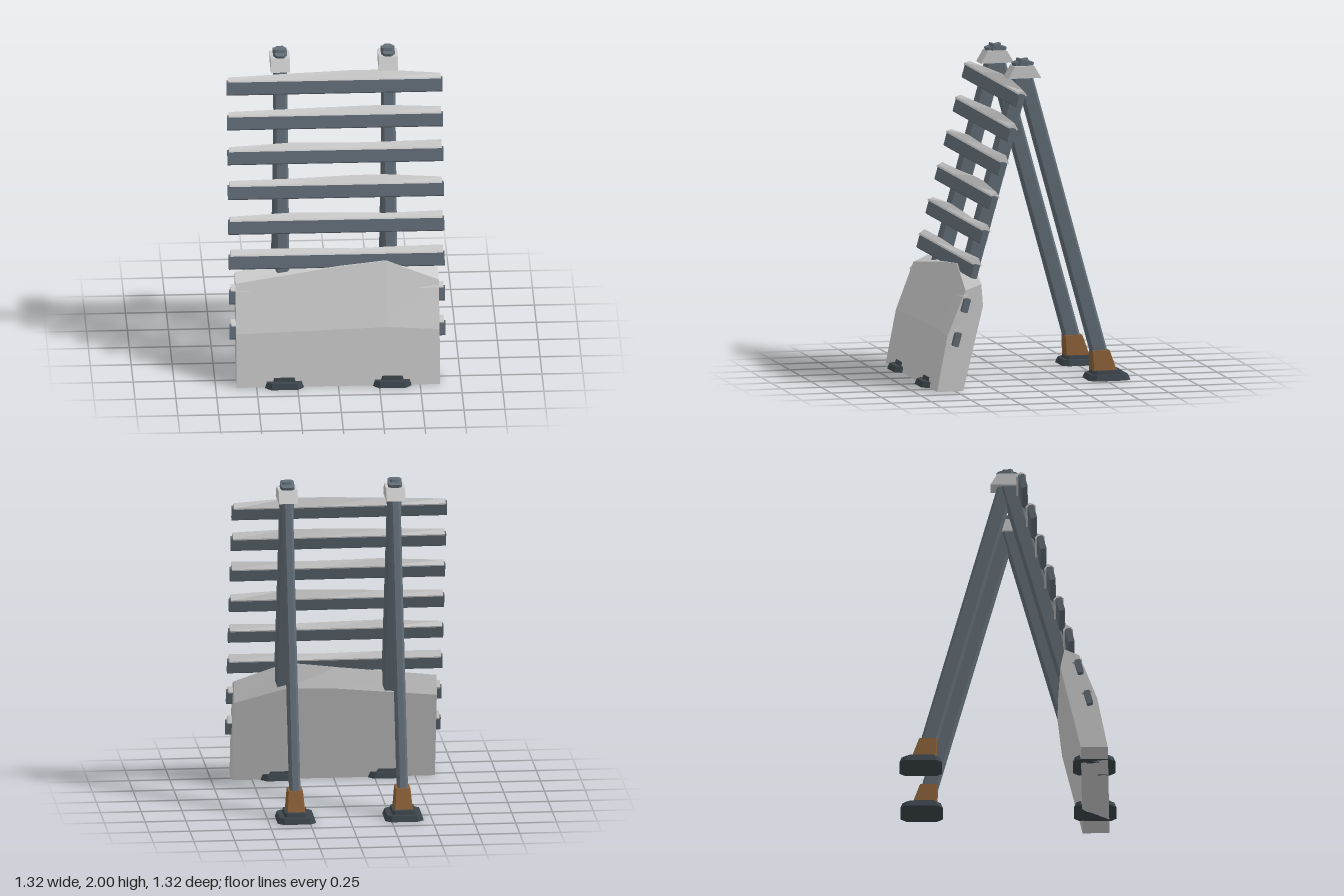
import * as THREE from 'three';

const paint = (color) => new THREE.MeshStandardMaterial({ color, flatShading: true });
const TILT = 0.268, APEX = 1.92;

// Upright bar with chamfered corners, base at y = 0; the top may be scaled and shifted in z
function bar(w, d, h, chamfer, topScaleX = 1, topScaleZ = topScaleX, shiftZ = 0) {
  const a = w / 2, b = d / 2, c = chamfer;
  const shape = new THREE.Shape([
    [a, -b + c], [a, b - c], [a - c, b], [-a + c, b],
    [-a, b - c], [-a, -b + c], [-a + c, -b], [a - c, -b],
  ].map(([x, y]) => new THREE.Vector2(x, y)));
  const geo = new THREE.ExtrudeGeometry(shape, { depth: h, bevelEnabled: false }).rotateX(-Math.PI / 2);
  const p = geo.attributes.position;
  for (let i = 0; i < p.count; i++) {
    if (p.getY(i) < h / 2) continue;
    p.setX(i, p.getX(i) * topScaleX);
    p.setZ(i, p.getZ(i) * topScaleZ + shiftZ);
  }
  geo.computeVertexNormals();
  return geo;
}

// Closed loft along +x; each section is { x, pts: [[z, y], ...] } running front, top, back
function loft(sections) {
  const out = [], n = sections[0].pts.length;
  const put = (...list) => list.forEach(([s, i]) => {
    const [z, y] = sections[s].pts[i % n];
    out.push(sections[s].x, y, z);
  });
  const last = sections.length - 1;
  for (let s = 0; s < last; s++) for (let i = 0; i < n; i++) {
    put([s, i], [s + 1, i], [s + 1, i + 1], [s, i], [s + 1, i + 1], [s, i + 1]);
  }
  for (let i = 1; i < n - 1; i++) {
    put([0, 0], [0, i], [0, i + 1]);
    put([last, 0], [last, i + 1], [last, i]);
  }
  const geo = new THREE.BufferGeometry();
  geo.setAttribute('position', new THREE.Float32BufferAttribute(out, 3));
  geo.computeVertexNormals();
  return geo;
}

export function createModel() {
  const root = new THREE.Group();
  root.name = 'snowFence';
  const steel = paint(0x626d76), dark = paint(0x3c454b), rust = paint(0x8a6038), snow = paint(0xcccccc);

  const add = (parent, name, geo, mat, x = 0, y = 0, z = 0) => {
    const m = new THREE.Mesh(geo, mat);
    m.name = name;
    m.position.set(x, y, z);
    parent.add(m);
    return m;
  };

  // Two A-frames whose legs cross at the apex
  for (const side of [1, -1]) {
    const frame = new THREE.Group();
    frame.name = side > 0 ? 'leftFrame' : 'rightFrame';
    frame.position.x = side * 0.33;
    root.add(frame);

    for (const dir of [1, -1]) {
      const label = dir > 0 ? 'front' : 'back';
      const length = 1.96;
      const geo = bar(dir > 0 ? 0.084 : 0.064, 0.1, length, 0.014).translate(0, 0.068 - length, 0);
      add(frame, label + 'Leg', geo, steel, 0, APEX, 0).rotation.x = -dir * TILT;

      // Stepped foot plate
      add(frame, label + 'Foot', bar(0.236, 0.26, 0.035, 0.035, 0.9), dark, 0, 0, dir * 0.53);
      add(frame, label + 'FootStep', bar(0.15, 0.185, 0.024, 0.015, 0.93), dark, 0, 0.034, dir * 0.525);
    }
    add(frame, 'rustyCollar', bar(0.112, 0.148, 0.125, 0.004, 0.8, 0.74, 0.024), rust, 0, 0.055, -0.509);
    add(frame, 'apexSnow', bar(0.118, 0.21, 0.075, 0.002, 1, 0.58), snow, 0, 1.88, 0);
  }

  // Leaning slats, each with an uneven ridge of snow; ridge heights at five stations
  const stations = [-0.65, -0.25, 0.1, 0.3, 0.65];
  const ridges = [
    [0.022, 0.04, 0.053, 0.053, 0.026],
    [0.024, 0.036, 0.046, 0.05, 0.034],
    [0.022, 0.044, 0.036, 0.038, 0.046],
    [0.028, 0.036, 0.05, 0.052, 0.03],
    [0.022, 0.042, 0.034, 0.028, 0.038],
    [0.034, 0.036, 0.028, 0.034, 0.042],
    [0.038, 0.03, 0.036, 0.042, 0.03],
    [0.036, 0.04, 0.036, 0.032, 0.038],
  ];
  ridges.forEach((heights, i) => {
    const y = 1.78 - i * 0.208;
    const slat = new THREE.Group();
    slat.name = 'slat' + (i + 1);
    slat.position.set(0, y, 0.058 + Math.tan(TILT) * (APEX - y));
    slat.rotation.x = -TILT;
    root.add(slat);
    const board = bar(0.09, 0.038, 1.32, 0.006).translate(0, -0.66, 0).rotateZ(Math.PI / 2);
    add(slat, 'slatBoard', board, steel);
    const sections = stations.map((x, k) => ({
      x, pts: [[0.03, 0.038], [0.026, 0.048], [0, 0.043 + heights[k]], [-0.03, 0.046], [-0.03, 0.038]],
    }));
    add(slat, 'slatSnow', loft(sections), snow);
  });

  // Snow drift: front ridge and back ridge rise towards the left of centre
  const drift = [
    // x, front bend y, front ridge z y, back ridge z y, back edge z y
    [-0.622, 0.33, 0.44, 0.62, 0.35, 0.66, 0.325, 0.54],
    [0, 0.35, 0.415, 0.71, 0.33, 0.73, 0.305, 0.6],
    [0.3, 0.36, 0.405, 0.74, 0.31, 0.77, 0.3, 0.61],
    [0.622, 0.34, 0.435, 0.62, 0.335, 0.655, 0.325, 0.52],
  ].map(([x, bend, cz, cy, dz, dy, ez, ey]) => ({
    x, pts: [[0.615, 0], [0.55, bend], [cz, cy], [dz, dy], [ez, ey], [0.45, 0]],
  }));
  add(root, 'snowDrift', loft(drift), snow);

  return root;
}
